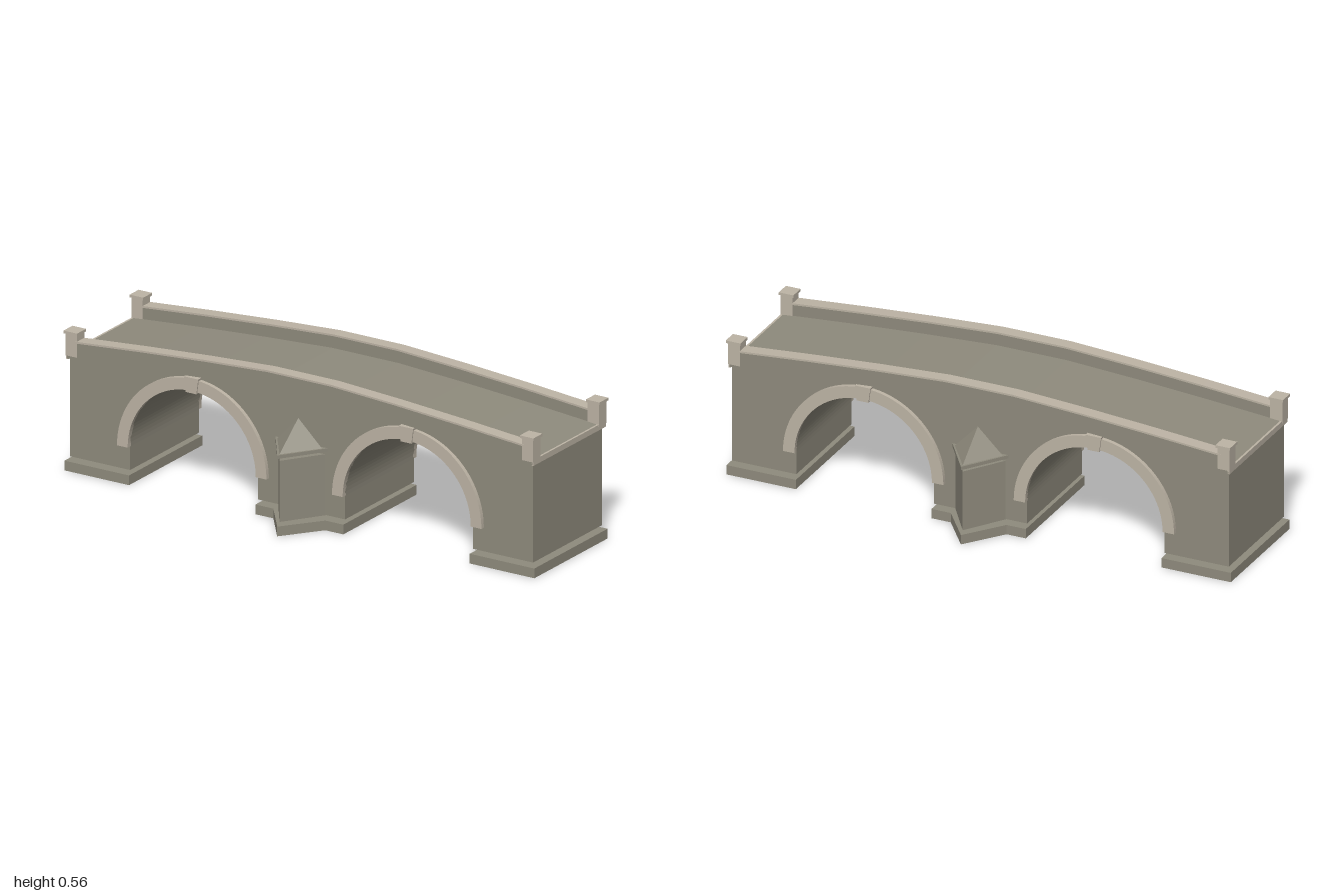
import * as THREE from 'three';

const ARCH_X = 0.4575, SPRING_Y = 0.142, ARCH_R = 0.2725, RING_R = 0.318;
// Rise of the roadway above its height at the ends
const RISE = [[-0.99, 0], [-0.7, 0.024], [-0.42, 0.044], [-0.14, 0.06],
  [0.14, 0.06], [0.42, 0.044], [0.7, 0.024], [0.99, 0]];

export function createModel() {
  const stone = new THREE.MeshStandardMaterial({ name: 'grey stone', color: 0x8f8b7d });
  const trim = new THREE.MeshStandardMaterial({ name: 'pale trim stone', color: 0xbdb4a5 });
  const bridge = new THREE.Group();
  bridge.name = 'bridge';

  const add = (parent, name, geometry, material) => {
    const mesh = new THREE.Mesh(geometry, material);
    mesh.name = name;
    parent.add(mesh);
    return mesh;
  };
  const box = (parent, name, material, x0, x1, y0, y1, z0, z1) => {
    const mesh = add(parent, name, new THREE.BoxGeometry(x1 - x0, y1 - y0, z1 - z0), material);
    mesh.position.set((x0 + x1) / 2, (y0 + y1) / 2, (z0 + z1) / 2);
    return mesh;
  };
  // Front-facing shape extruded between two depths
  const extrude = (shape, z0, z1) => new THREE.ExtrudeGeometry(shape,
    { depth: z1 - z0, bevelEnabled: false, curveSegments: 28 }).translate(0, 0, z0);
  // Strip that follows the hump of the road
  const hump = (bottom, top, half, z0, z1) => {
    const at = ([x, rise], base) => new THREE.Vector2(x / 0.99 * half, base + rise);
    const points = [...RISE.map(p => at(p, bottom)), ...RISE.map(p => at(p, top)).reverse()];
    return extrude(new THREE.Shape(points), z0, z1);
  };
  // Upright wedge with its point towards the front
  const wedge = (halfWidth, back, tip, y0, y1) => {
    const plan = new THREE.Shape([new THREE.Vector2(-halfWidth, -back),
      new THREE.Vector2(0, -tip), new THREE.Vector2(halfWidth, -back)]);
    return new THREE.ExtrudeGeometry(plan, { depth: y1 - y0, bevelEnabled: false })
      .rotateX(-Math.PI / 2).translate(0, y0, 0);
  };

  // Piers and walls, with both arches cut from the outline
  const outline = new THREE.Shape();
  outline.moveTo(-0.985, 0.052);
  for (const cx of [-ARCH_X, ARCH_X]) {
    outline.lineTo(cx - ARCH_R, 0.052);
    outline.lineTo(cx - ARCH_R, SPRING_Y);
    outline.absarc(cx, SPRING_Y, ARCH_R, Math.PI, 0, true);
    outline.lineTo(cx + ARCH_R, 0.052);
  }
  outline.lineTo(0.985, 0.052);
  for (const [x, rise] of [...RISE].reverse()) outline.lineTo(x / 0.99 * 0.985, 0.43 + rise);
  add(bridge, 'archedWalls', extrude(outline, -0.225, 0.225), stone);

  // Road slab and its pale end edges
  add(bridge, 'roadDeck', hump(0.428, 0.447, 0.99, -0.237, 0.237), stone);
  for (const side of [-1, 1]) {
    box(bridge, 'deckEnd', trim, side * 0.99 - 0.004, side * 0.99 + 0.004, 0.426, 0.4475, -0.237, 0.237);
  }

  // Footings
  for (const [x0, x1] of [[-1, -0.725], [-0.187, 0.187], [0.725, 1]]) {
    box(bridge, 'footing', stone, x0, x1, 0, 0.037, -0.24, 0.24);
  }

  // Parts repeated on the front and back faces
  for (const angle of [0, Math.PI]) {
    const face = new THREE.Group();
    face.name = angle ? 'backFace' : 'frontFace';
    face.rotation.y = angle;
    bridge.add(face);

    // Parapet with coping
    add(face, 'parapet', hump(0.44, 0.493, 0.96, 0.193, 0.239), stone);
    add(face, 'coping', hump(0.493, 0.5, 0.96, 0.191, 0.241), trim);

    for (const side of [-1, 1]) {
      const cx = side * ARCH_X;
      // Arch ring
      const ring = new THREE.Shape();
      ring.moveTo(cx + RING_R, SPRING_Y);
      ring.absarc(cx, SPRING_Y, RING_R, 0, Math.PI, false);
      ring.lineTo(cx - ARCH_R, SPRING_Y);
      ring.absarc(cx, SPRING_Y, ARCH_R, Math.PI, 0, true);
      add(face, 'archRing', extrude(ring, 0.22, 0.241), trim);
      // Keystone
      const key = new THREE.Shape([[-0.023, 0.408], [0.023, 0.408], [0.031, 0.466], [-0.031, 0.466]]
        .map(([x, y]) => new THREE.Vector2(cx + x, y)));
      add(face, 'keystone', extrude(key, 0.22, 0.246), trim);
      // End post and cap
      const px = side * 0.971;
      box(face, 'endPost', trim, px - 0.024, px + 0.024, 0.44, 0.525, 0.191, 0.24);
      box(face, 'postCap', trim, px - 0.029, px + 0.029, 0.525, 0.535, 0.187, 0.246);
    }

    // Pointed cutwater on the middle pier
    add(face, 'cutwaterFooting', wedge(0.112, 0.238, 0.385, 0, 0.037), stone);
    add(face, 'cutwater', wedge(0.1, 0.224, 0.37, 0.05, 0.283), stone);
    add(face, 'cutwaterCap', wedge(0.112, 0.224, 0.385, 0.295, 0.308), stone);
    const left = [-0.095, 0.308, 0.238], right = [0.095, 0.308, 0.238];
    const tip = [0, 0.308, 0.37], peak = [0, 0.408, 0.247];
    const roof = new THREE.BufferGeometry();
    roof.setAttribute('position', new THREE.Float32BufferAttribute(
      [left, tip, peak, tip, right, peak, right, left, peak].flat(), 3));
    roof.computeVertexNormals();
    add(face, 'cutwaterRoof', roof, stone);
  }
  return bridge;
}
